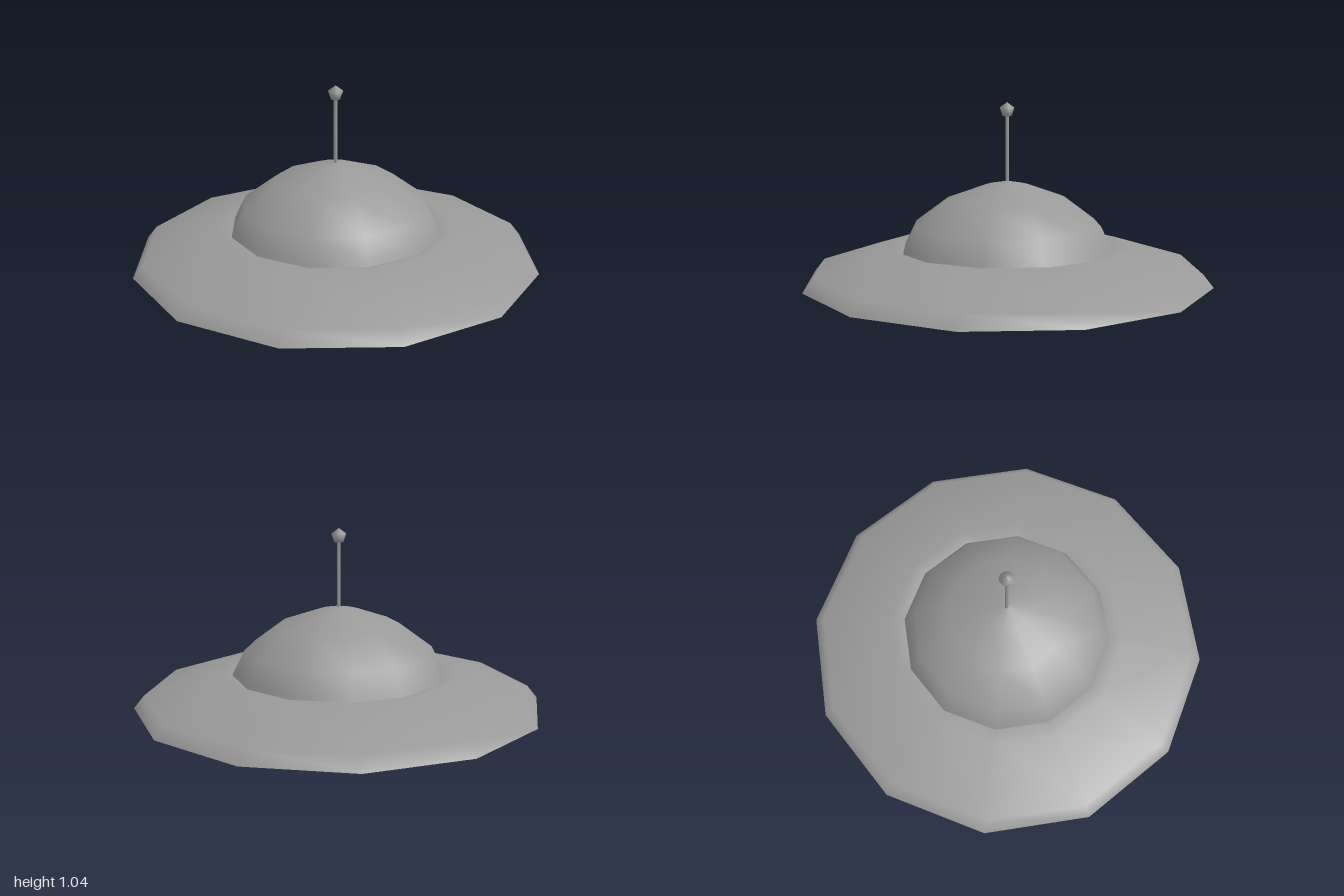
import * as THREE from 'three';

const SIDES = 12;

// Twelve-sided turned part; the profile runs from bottom to top as [radius, y].
function turned(name, profile, sides = SIDES) {
  const points = profile.map(([r, y]) => new THREE.Vector2(r, y));
  const material = new THREE.MeshStandardMaterial({ color: 0x999999 });
  const mesh = new THREE.Mesh(new THREE.LatheGeometry(points, sides), material);
  mesh.name = name;
  return mesh;
}

export function createModel() {
  const saucer = new THREE.Group();
  saucer.name = 'flyingSaucer';

  // Lower hull: shallow bowl, its upper edge tucked inside the disc
  saucer.add(turned('lowerHull', [[0, 0.003], [0.2, 0.006], [0.37, 0.08], [0.49, 0.178], [0.52, 0.24]]));

  // Main disc: flat underside and smooth top that dips inward to seat the dome
  saucer.add(turned('discUnderside', [[0, 0.178], [1, 0.178]]));
  saucer.add(turned('discTop', [[1, 0.178], [0.95, 0.24], [0.585, 0.352], [0.45, 0.31]]));

  // Cabin dome
  saucer.add(turned('dome', [[0.53, 0.31], [0.51, 0.355], [0.46, 0.455], [0.295, 0.577], [0.1, 0.647], [0, 0.665]]));

  // Antenna with a coarse round knob
  const antenna = new THREE.Group();
  antenna.name = 'antenna';
  antenna.add(turned('antennaRod', [[0.009, 0.62], [0.009, 1]], 8));
  antenna.add(turned('antennaKnob', [[0, 0.978], [0.022, 0.978], [0.036, 1.019], [0, 1.045]]));
  saucer.add(antenna);

  return saucer;
}
